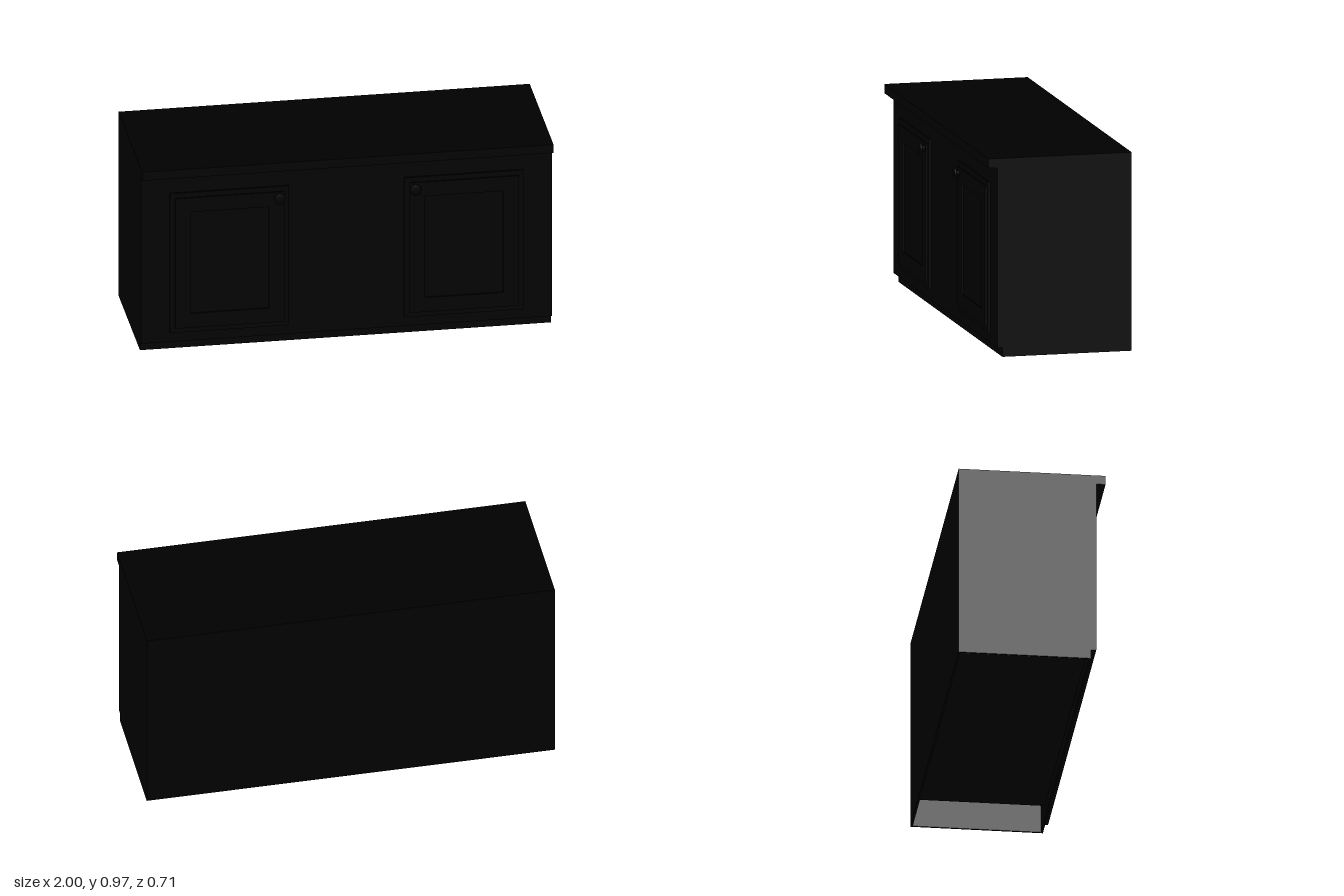
import * as THREE from 'three';

const material = new THREE.MeshStandardMaterial({ color: 0x000000 });

function add(parent, name, geometry, x = 0, y = 0, z = 0) {
  const mesh = new THREE.Mesh(geometry, material);
  mesh.name = name;
  mesh.position.set(x, y, z);
  parent.add(mesh);
  return mesh;
}

// Box given by its limits on each axis
function slab(parent, name, [x0, x1], [y0, y1], [z0, z1]) {
  return add(parent, name, new THREE.BoxGeometry(x1 - x0, y1 - y0, z1 - z0),
    (x0 + x1) / 2, (y0 + y1) / 2, (z0 + z1) / 2);
}

function rectangle(Type, w, h) {
  return new Type([[-w, -h], [w, -h], [w, h], [-w, h]].map(([x, y]) => new THREE.Vector2(x / 2, y / 2)));
}

// Door: backing slab, raised frame around a sunken panel, and a knob near the middle
function makeDoor(side) {
  const door = new THREE.Group();
  door.name = side > 0 ? 'leftDoor' : 'rightDoor';
  const width = 0.58, height = 0.735;
  add(door, 'doorSlab', new THREE.BoxGeometry(width, height, 0.01), 0, 0, 0.005);

  const outline = rectangle(THREE.Shape, width - 0.05, height - 0.05);
  outline.holes.push(rectangle(THREE.Path, width - 0.2, height - 0.2));
  add(door, 'doorFrame', new THREE.ExtrudeGeometry(outline, { depth: 0.008, bevelEnabled: false }), 0, 0, 0.01);

  const profile = [[0, 0], [0.018, 0], [0.012, 0.009], [0.022, 0.015], [0.028, 0.019], [0.028, 0.024], [0.024, 0.027], [0, 0.027]]
    .map(([r, h]) => new THREE.Vector2(r, h));
  const knob = add(door, 'doorKnob', new THREE.LatheGeometry(profile, 20), -side * 0.24, 0.315, 0.018);
  knob.rotation.x = Math.PI / 2;

  door.position.set(side * 0.57, 0.4625, 0.31);
  return door;
}

export function createModel() {
  const cabinet = new THREE.Group();
  cabinet.name = 'cabinet';
  const back = -0.355, kick = 0.285, front = 0.31, wall = 0.01;

  slab(cabinet, 'countertop', [-1, 1], [0.925, 0.97], [back, 0.355]);

  // Thin side walls with a toe notch at the front
  const sideShape = new THREE.Shape([[back, 0], [kick, 0], [kick, 0.045], [front, 0.045], [front, 0.925], [back, 0.925]]
    .map(([z, y]) => new THREE.Vector2(-z, y)));
  const sideGeometry = new THREE.ExtrudeGeometry(sideShape, { depth: wall, bevelEnabled: false });
  for (const side of [-1, 1]) {
    const panel = add(cabinet, side > 0 ? 'leftSide' : 'rightSide', sideGeometry, side > 0 ? 1 - wall : -1);
    panel.rotation.y = Math.PI / 2;
  }

  // Carcass panels, open underneath
  const inside = [-1 + wall, 1 - wall];
  slab(cabinet, 'backPanel', inside, [0, 0.925], [back, back + wall]);
  slab(cabinet, 'frontPanel', inside, [0.045, 0.925], [kick - wall, front]);
  slab(cabinet, 'kickBoard', inside, [0, 0.045], [kick - wall, kick]);
  slab(cabinet, 'bottomShelf', [-0.84, 0.84], [0.07, 0.09], [back + wall, kick - wall]);

  for (const side of [-1, 1]) cabinet.add(makeDoor(side));
  return cabinet;
}
